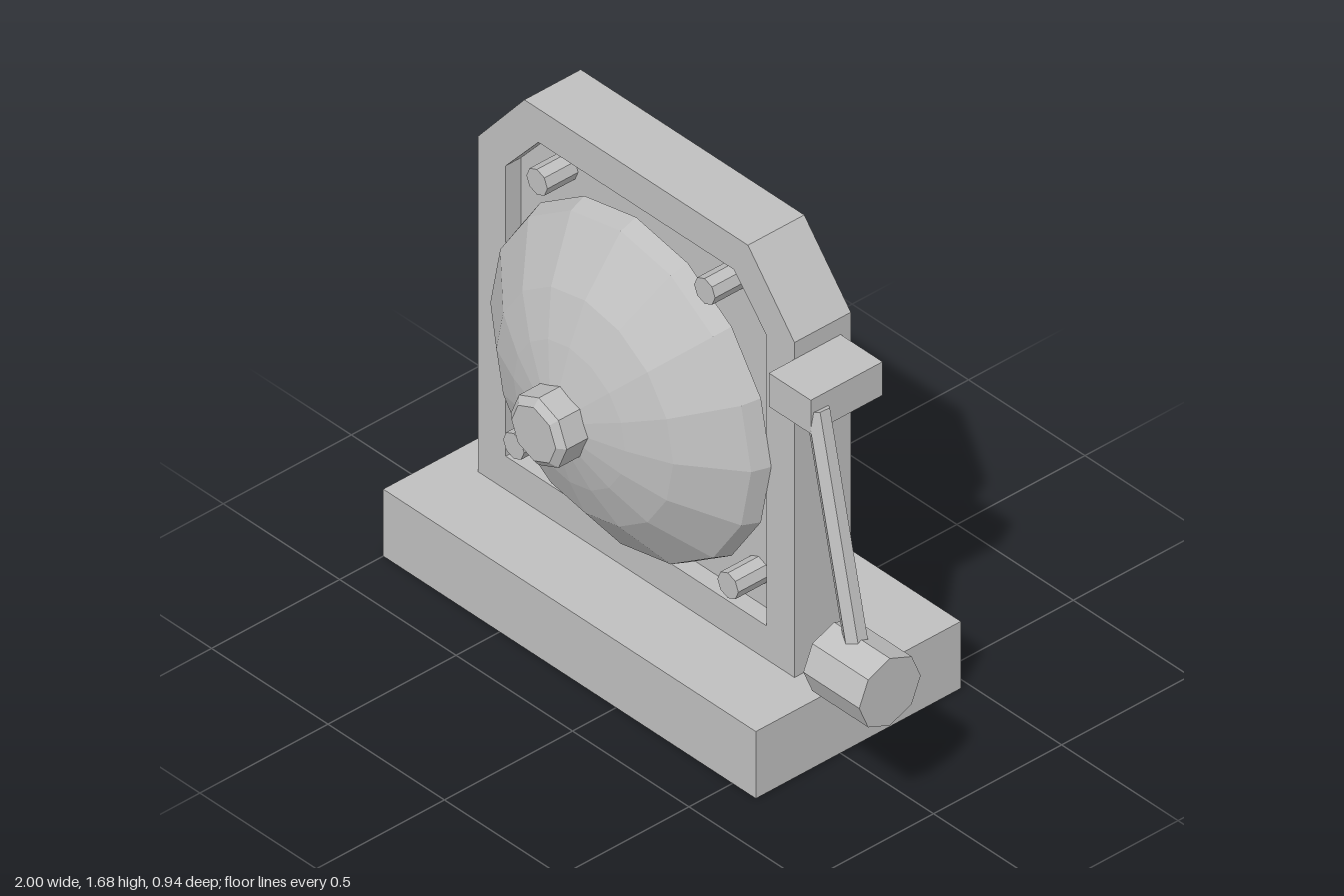
import * as THREE from 'three';

export function createModel() {
  const model = new THREE.Group();
  const grey = new THREE.MeshStandardMaterial({ color: 0xbfbfbf, flatShading: true });
  grey.name = 'plain grey';

  const add = (name, geometry, x = 0, y = 0, z = 0) => {
    const mesh = new THREE.Mesh(geometry, grey);
    mesh.name = name;
    mesh.position.set(x, y, z);
    model.add(mesh);
    return mesh;
  };
  const box = (name, x0, x1, y0, y1, z0, z1) =>
    add(name, new THREE.BoxGeometry(x1 - x0, y1 - y0, z1 - z0),
      (x0 + x1) / 2, (y0 + y1) / 2, (z0 + z1) / 2);

  // Rectangle with its two top corners cut off
  const outline = (x0, x1, y0, y1, cutX, cutY) => [
    [x0, y0], [x1, y0], [x1, y1 - cutY], [x1 - cutX, y1], [x0 + cutX, y1], [x0, y1 - cutY],
  ].map(([x, y]) => new THREE.Vector2(x, y));
  const extrude = (shape, depth) =>
    new THREE.ExtrudeGeometry(shape, { depth, bevelEnabled: false });

  // Foot and upright housing with a shallow recess in the front
  box('base', -1, 0.6, 0, 0.24, -0.47, 0.33);
  const outer = outline(-0.88, 0.48, 0.24, 1.68, 0.2, 0.24);
  add('housingBack', extrude(new THREE.Shape(outer), 0.16), 0, 0, -0.15);
  const frame = new THREE.Shape(outer);
  frame.holes.push(new THREE.Path(outline(-0.76, 0.36, 0.36, 1.56, 0.14, 0.16).reverse()));
  add('housingFrame', extrude(frame, 0.06), 0, 0, 0.01);

  // Faceted gong
  const turned = (profile, sides) => new THREE.LatheGeometry(
    profile.map(([r, h]) => new THREE.Vector2(r, h)), sides).rotateX(Math.PI / 2);
  add('gong', turned([[0, 0.07], [0.58, 0.07], [0.56, 0.13], [0.38, 0.27],
    [0.24, 0.33], [0.11, 0.37], [0, 0.37]], 16), -0.2, 0.94, 0);

  // Chamfered nut at the centre of the gong
  add('centreNut', turned([[0, 0.36], [0.12, 0.36], [0.12, 0.45],
    [0.095, 0.47], [0, 0.47]], 8), -0.2, 0.94, 0);

  // Corner bolts
  for (const [x, y] of [[-0.56, 1.48], [0.16, 1.48], [-0.66, 0.48], [0.26, 0.48]]) {
    add('bolt', new THREE.CylinderGeometry(0.045, 0.045, 0.12, 8).rotateX(Math.PI / 2), x, y, 0.07);
  }

  // Striker: bracket, sloping arm and hammer head
  box('strikerBracket', 0.48, 0.66, 1.26, 1.38, -0.11, 0.17);
  const top = new THREE.Vector3(0.645, 1.325, 0.13);
  const bottom = new THREE.Vector3(0.86, 0.58, 0.168);
  const arm = add('strikerArm', new THREE.CylinderGeometry(0.038, 0.038, top.distanceTo(bottom), 6));
  arm.position.copy(top).add(bottom).multiplyScalar(0.5);
  arm.quaternion.setFromUnitVectors(new THREE.Vector3(0, 1, 0), top.clone().sub(bottom).normalize());
  add('strikerHead', new THREE.CylinderGeometry(0.12, 0.12, 0.24, 8).rotateZ(Math.PI / 2), 0.88, 0.52, 0.17);

  return model;
}
